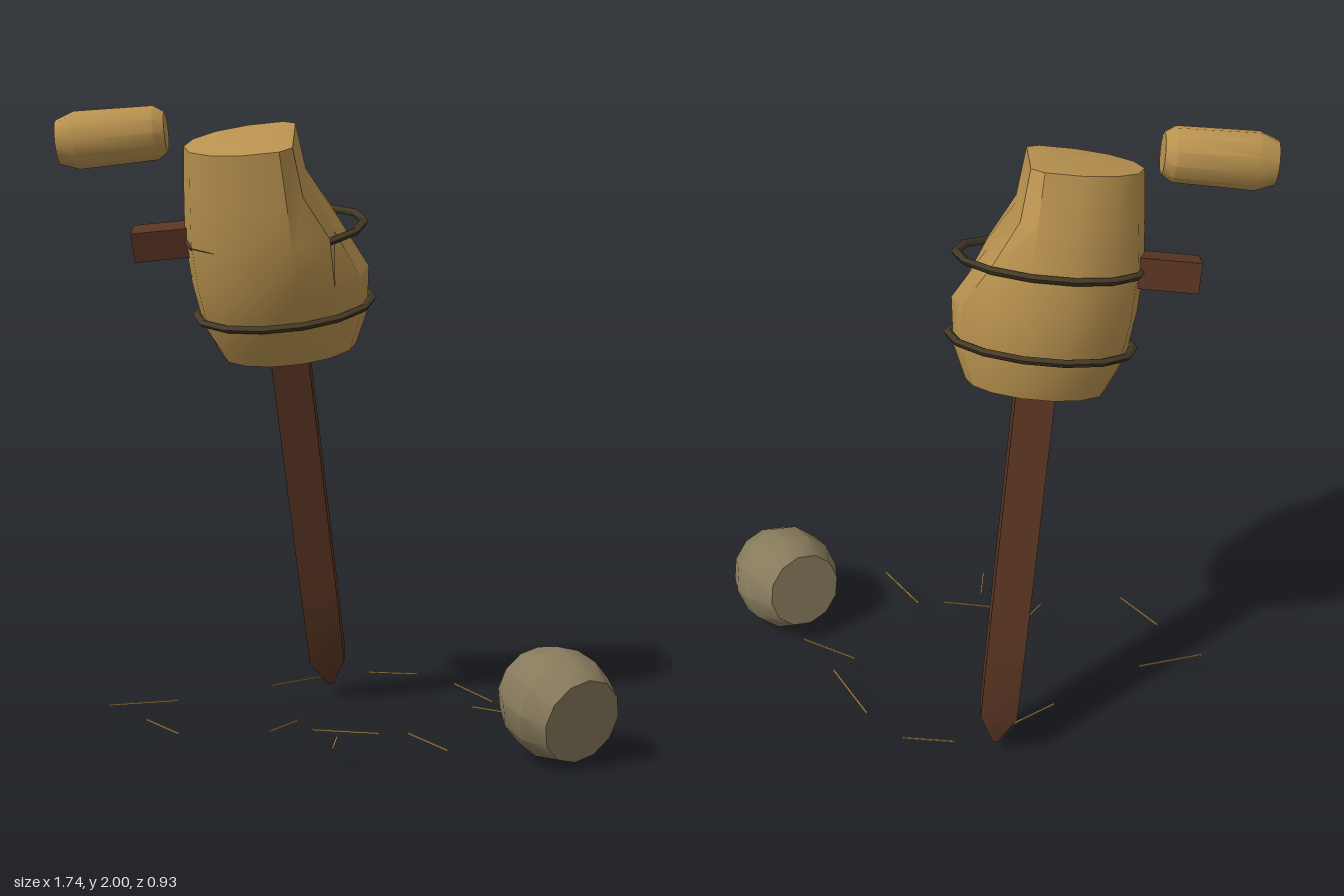
import * as THREE from 'three';
import { toCreasedNormals } from 'three/addons/utils/BufferGeometryUtils.js';

const paint = (name, color) => {
  const m = new THREE.MeshStandardMaterial({ color });
  m.name = name;
  return m;
};

// Closed skin over stacked rings [y, rx, rz, maxX]; maxX flattens the +x side
function loft(rings, sides, turn = 0, dome = 0) {
  const pos = [], idx = [];
  for (const [y, rx, rz, maxX = 9] of rings) {
    for (let i = 0; i < sides; i++) {
      const a = (i / sides) * Math.PI * 2 + turn;
      pos.push(Math.min(Math.cos(a) * rx, maxX), y, Math.sin(a) * rz);
    }
  }
  const last = (rings.length - 1) * sides;
  const bottom = rings.length * sides, top = bottom + 1;
  pos.push(0, rings[0][0], 0, 0, rings[rings.length - 1][0] + dome, 0);
  for (let i = 0; i < sides; i++) {
    const j = (i + 1) % sides;
    for (let r = 0; r < last; r += sides) {
      idx.push(r + i, r + sides + i, r + j, r + sides + i, r + sides + j, r + j);
    }
    idx.push(bottom, i, j, top, last + j, last + i);
  }
  const g = new THREE.BufferGeometry();
  g.setAttribute('position', new THREE.Float32BufferAttribute(pos, 3));
  g.setIndex(idx);
  return toCreasedNormals(g, 0.6);
}

// Elliptical rope loop with a few straight runs
function ropeLoop(rx, rz) {
  const g = new THREE.TorusGeometry(1, 0.05, 5, 14);
  const p = g.attributes.position;
  for (let i = 0; i < p.count; i++) {
    const x = p.getX(i), y = p.getY(i), a = Math.atan2(y, x);
    const d = (Math.hypot(x, y) - 1) * 0.26;
    p.setXYZ(i, Math.cos(a) * (rx + d), -p.getZ(i) * 0.26, Math.sin(a) * (rz + d));
  }
  g.computeVertexNormals();
  return g;
}

export function createModel() {
  const model = new THREE.Group();
  model.name = 'brokenTrainingDummy';
  const straw = paint('straw', 0xb9924f);
  const wood = paint('dark wood', 0x5a3522);
  const rope = paint('rope', 0x453a26);
  const sack = paint('sackcloth', 0x877a5c);
  const up = new THREE.Vector3(0, 1, 0);

  const add = (parent, name, geometry, material, x = 0, y = 0, z = 0) => {
    const m = new THREE.Mesh(geometry, material);
    m.name = name;
    m.position.set(x, y, z);
    parent.add(m);
    return m;
  };

  // Leaning post with everything still fixed to it
  const leaning = new THREE.Group();
  leaning.name = 'leaningDummy';
  leaning.position.set(-0.035, 0.1, -0.4);
  leaning.quaternion.setFromUnitVectors(up, new THREE.Vector3(-0.105, 1, 0.247).normalize());
  model.add(leaning);

  // Square stake with a pointed foot
  add(leaning, 'post', loft([
    [-0.062, 0.012, 0.012], [0.05, 0.083, 0.083], [0.35, 0.085, 0.085], [1.5, 0.086, 0.086],
  ], 4, Math.PI / 4), wood);

  // Straw torso, torn away at the upper left
  add(leaning, 'torso', loft([
    [1.165, 0.215, 0.155], [1.27, 0.262, 0.2], [1.418, 0.282, 0.232],
    [1.574, 0.285, 0.235, 0.19], [1.708, 0.27, 0.215, 0.11], [1.863, 0.25, 0.193, 0.095],
  ], 14, 0, 0.018), straw);

  // Ropes around the torso
  add(leaning, 'lowerRope', ropeLoop(0.283, 0.22), rope, 0, 1.31, -0.01);
  add(leaning, 'upperRope', ropeLoop(0.283, 0.229), rope, 0, 1.562, -0.012);

  // Bare stub of the cross beam
  add(leaning, 'crossBeam', new THREE.BoxGeometry(0.45, 0.095, 0.095), wood, -0.225, 1.56, -0.02);

  // Straw arm floating free of the beam
  const arm = add(model, 'looseArm', loft([
    [-0.17, 0.068, 0.065], [-0.112, 0.09, 0.084], [0.135, 0.084, 0.084], [0.168, 0.062, 0.066],
  ], 12), straw, -0.692, 1.903, 0.05);
  arm.quaternion.setFromUnitVectors(up, new THREE.Vector3(1, 0.095, 0).normalize());

  // Sack head lying on the ground
  const head = add(model, 'fallenHead', loft([
    [-0.135, 0.128, 0.128], [-0.045, 0.17, 0.17], [0.045, 0.172, 0.172], [0.135, 0.138, 0.138],
  ], 12), sack, 0.687, 0.176, 0.288);
  head.quaternion.setFromUnitVectors(up, new THREE.Vector3(0.14, -0.055, 0.225).normalize());

  // Scattered straw: x, z of both ends
  const stalks = [
    [0.1, -0.45, 0.27, -0.43], [0.39, -0.31, 0.51, -0.09], [0.44, -0.03, 0.62, 0.075],
    [0.23, 0.27, 0.35, 0.45], [0.01, 0.32, 0, 0.44], [-0.07, 0.24, 0.14, 0.275],
    [-0.6, 0.14, -0.48, 0.295], [-0.2, 0.26, -0.12, 0.14], [-0.74, -0.02, -0.52, -0.08],
    [-0.226, -0.27, -0.056, -0.39],
  ];
  for (const [x1, z1, x2, z2] of stalks) {
    const length = Math.hypot(x2 - x1, z2 - z1);
    const s = add(model, 'strawStalk', new THREE.BoxGeometry(length, 0.005, 0.005), straw,
      (x1 + x2) / 2, 0.07, (z1 + z2) / 2);
    s.rotation.y = -Math.atan2(z2 - z1, x2 - x1);
  }
  return model;
}
